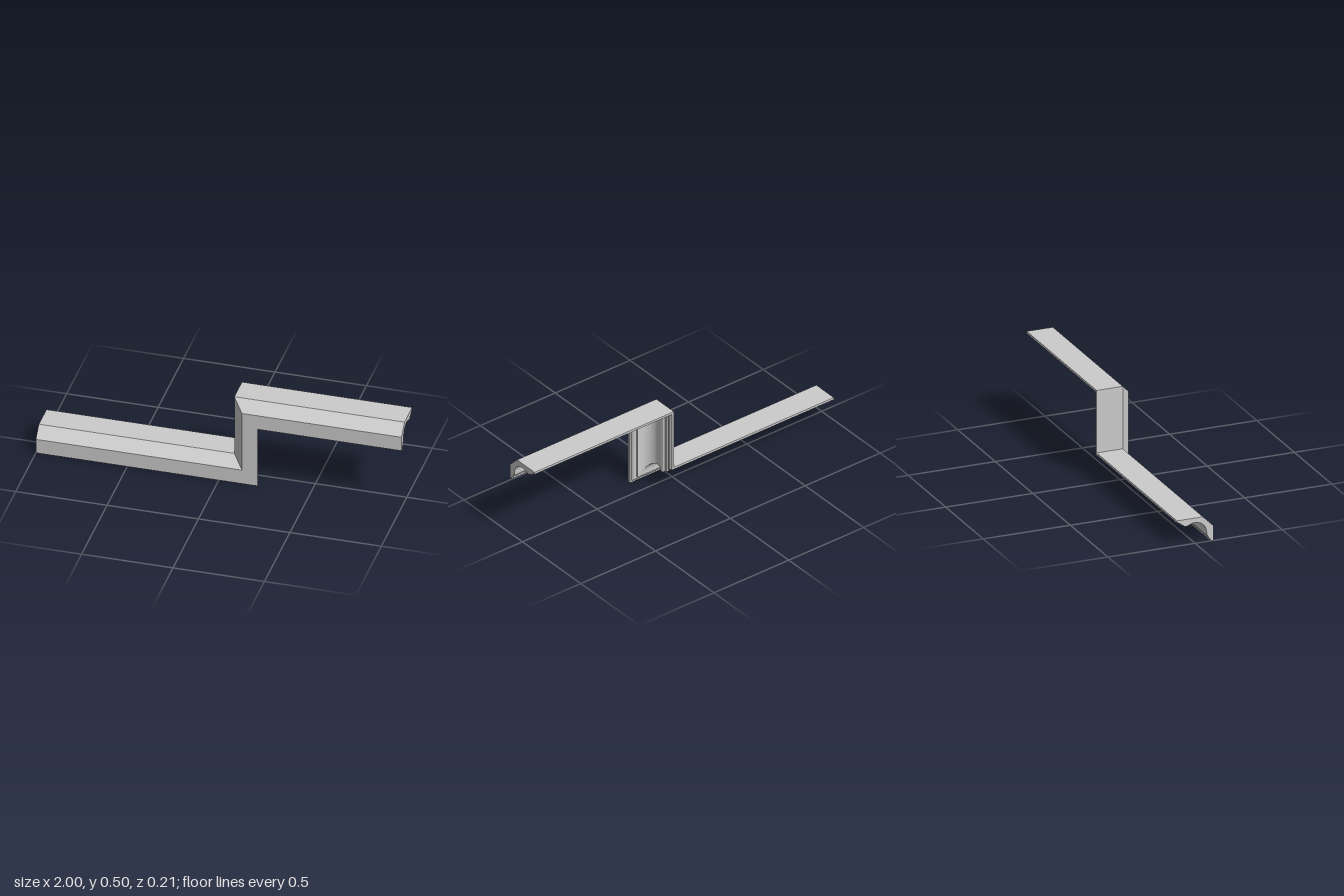
import * as THREE from 'three';
import { toCreasedNormals } from 'three/addons/utils/BufferGeometryUtils.js';

const v2 = (z, h) => new THREE.Vector2(z, h);

// Moulding cross-section: z across, h = height above the lower edge
function mouldingProfile() {
  const p = new THREE.Path();
  p.moveTo(0.1045, 0);
  p.lineTo(0.0885, 0);
  p.lineTo(0.0885, 0.0115);
  p.splineThru([v2(0.082, 0.0145), v2(0.0765, 0.022), v2(0.0745, 0.034)]); // ovolo
  p.lineTo(0.067, 0.034);
  p.absarc(0, 0.05, 0.067, 0, 1.95, false); // large cove
  p.splineThru([v2(-0.036, 0.107), v2(-0.046, 0.1035), v2(-0.055, 0.1025),
    v2(-0.062, 0.1055), v2(-0.067, 0.1116)]);
  p.lineTo(-0.067, 0.1125);
  p.lineTo(-0.079, 0.1125);
  p.lineTo(-0.079, 0.1225);
  p.lineTo(-0.088, 0.1225);
  p.splineThru([v2(-0.0905, 0.127), v2(-0.096, 0.1295), v2(-0.1045, 0.13)]); // small cove
  p.lineTo(-0.1045, 0.143);
  p.lineTo(0.0455, 0.143);
  p.lineTo(0.1045, 0.0845); // front chamfer
  return p.getPoints(10);
}

// Mitred stations of the stepped run for a profile point
const STEP_X = 0.212, RISE = 0.3535;
const stations = [
  (z, h) => [-1, h, z],
  (z, h) => [STEP_X - h, h, z],
  (z, h) => [STEP_X - h, RISE + h, z],
  (z, h) => [1, RISE + h, z],
];

export function createModel() {
  const group = new THREE.Group();
  group.name = 'steppedMoulding';
  const material = new THREE.MeshStandardMaterial({ color: 0xcccccc });

  const profile = mouldingProfile();
  const n = profile.length;
  const capFaces = THREE.ShapeUtils.triangulateShape(profile, []);
  const names = ['lowerRun', 'riser', 'upperRun'];

  names.forEach((name, s) => {
    const pos = [];
    const a = profile.map((p) => stations[s](p.x, p.y));
    const b = profile.map((p) => stations[s + 1](p.x, p.y));
    for (let i = 0; i < n; i++) {
      const k = (i + 1) % n;
      pos.push(...a[i], ...a[k], ...b[k], ...a[i], ...b[k], ...b[i]);
    }
    // End caps only on the two free ends
    const cap = (ring, facesRight) => {
      for (const [i, j, k] of capFaces) {
        const turn = (profile[j].clone().sub(profile[i])).cross(profile[k].clone().sub(profile[i]));
        const keep = (turn < 0) === facesRight;
        pos.push(...ring[i], ...ring[keep ? j : k], ...ring[keep ? k : j]);
      }
    };
    if (s === 0) cap(a, false);
    if (s === names.length - 1) cap(b, true);

    const geometry = new THREE.BufferGeometry();
    geometry.setAttribute('position', new THREE.Float32BufferAttribute(pos, 3));
    const mesh = new THREE.Mesh(toCreasedNormals(geometry, 0.6), material);
    mesh.name = name;
    group.add(mesh);
  });

  return group;
}
